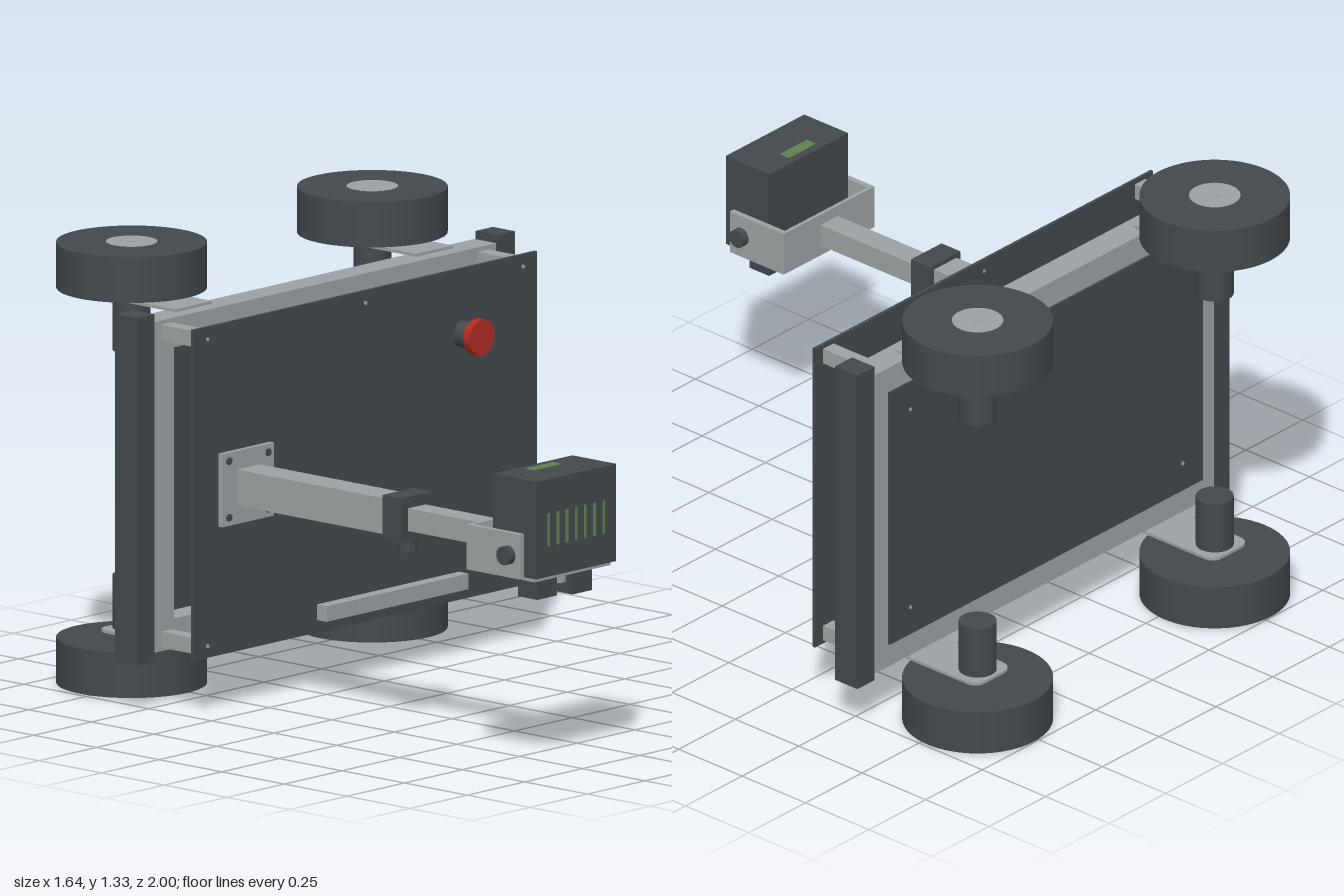
import * as THREE from 'three';

const mat = (color) => new THREE.MeshStandardMaterial({ color });

export function createModel() {
  const root = new THREE.Group();
  const dark = mat(0x42484c), grey = mat(0x9da1a3), green = mat(0x5d8250), red = mat(0xb02a24);

  const add = (name, geo, material, x, y, z, parent = root) => {
    const m = new THREE.Mesh(geo, material);
    m.name = name;
    m.position.set(x, y, z);
    parent.add(m);
    return m;
  };
  // Box given by its limits on each axis
  const box = (name, material, x0, x1, y0, y1, z0, z1, parent) =>
    add(name, new THREE.BoxGeometry(x1 - x0, y1 - y0, z1 - z0), material,
      (x0 + x1) / 2, (y0 + y1) / 2, (z0 + z1) / 2, parent);
  // Cylinder along a chosen axis
  const rod = (name, material, r, len, axis, x, y, z, parent) => {
    const g = new THREE.CylinderGeometry(r, r, len, r > 0.1 ? 64 : 28);
    if (axis === 'x') g.rotateZ(Math.PI / 2);
    if (axis === 'z') g.rotateX(Math.PI / 2);
    return add(name, g, material, x, y, z, parent);
  };
  const group = (name) => {
    const g = new THREE.Group();
    g.name = name;
    root.add(g);
    return g;
  };

  // Wheels with motors and mounting brackets, mirrored about the chassis middle
  const midY = 0.6625;
  for (const sx of [-1, 1]) for (const sy of [-1, 1]) {
    const w = group('wheelUnit'), x = sx * 0.5225, z = -0.778;
    const at = (y) => midY + sy * (y - midY);
    rod('tyre', dark, 0.222, 0.137, 'y', x, at(1.2565), z, w);
    rod('hub', grey, 0.076, 0.136, 'y', x, at(1.2585), z, w);
    rod('axle', grey, 0.013, 0.2, 'y', x, at(1.228), z, w);
    rod('motor', dark, 0.056, 0.165, 'y', x, at(1.0825), z, w);
    // Bracket plate, narrowing to a rounded end round the motor
    const s = new THREE.Shape();
    s.moveTo(-0.08, 0.53);
    s.lineTo(0.08, 0.53);
    s.lineTo(0.08, 0.8);
    s.quadraticCurveTo(0.08, 0.845, 0.04, 0.845);
    s.lineTo(-0.04, 0.845);
    s.quadraticCurveTo(-0.08, 0.845, -0.08, 0.8);
    const g = new THREE.ExtrudeGeometry(s, { depth: 0.009, bevelEnabled: false });
    g.rotateX(-Math.PI / 2);
    add('motorBracket', g, grey, x, at(1.1655) - 0.0045, 0, w);
  }

  // Chassis frame, bumpers and cross rails
  const chassis = group('chassis');
  for (const s of [-1, 1]) {
    const bx = s * 0.7825;
    box('bumper', dark, bx - 0.0375, bx + 0.0375, 0.14, 1.185, -0.57, -0.482, chassis);
    box('sideRail', grey, s * 0.7 - 0.045, s * 0.7 + 0.045, 0.165, 1.16, -0.575, -0.488, chassis);
    const ry = midY + s * 0.4525;
    box('endRail', grey, -0.655, 0.655, ry - 0.045, ry + 0.045, -0.575, -0.488, chassis);
    box('crossRail', grey, s * 0.22 - 0.03, s * 0.22 + 0.03, 0.255, 1.07, -0.56, -0.486, chassis);
    for (const y of [0.2, 1.123])
      box('standoff', grey, s * 0.687 - 0.023, s * 0.687 + 0.023, y - 0.024, y + 0.024, -0.488, -0.334, chassis);
  }
  box('backPlate', dark, -0.69, 0.69, 0.24, 1.08, -0.582, -0.57, chassis);
  box('frontPlate', dark, -0.745, 0.745, 0.165, 1.16, -0.336, -0.326, chassis);
  for (const x of [-0.685, 0, 0.685]) for (const y of [0.2, 1.123])
    rod('plateScrew', grey, 0.006, 0.014, 'z', x, y, -0.33, chassis);
  for (const x of [-0.6, 0.6]) for (const y of [0.33, 0.99])
    rod('backScrew', grey, 0.006, 0.016, 'z', x, y, -0.576, chassis);

  // Electronics between frame and front plate
  const parts = group('electronics');
  box('batteryTray', dark, -0.19, 0.33, 0.49, 0.83, -0.485, -0.42, parts);
  box('battery', green, -0.165, 0.31, 0.5, 0.82, -0.42, -0.36, parts);
  for (const x of [-0.092, 0.232])
    box('batteryStrap', dark, x - 0.017, x + 0.017, 0.492, 0.828, -0.44, -0.355, parts);
  box('controllerBoard', green, 0.385, 0.585, 0.38, 0.545, -0.485, -0.405, parts);
  box('driverBoard', green, 0.405, 0.565, 0.745, 0.86, -0.485, -0.44, parts);
  box('driverBlock', green, 0.385, 0.585, 0.86, 0.92, -0.485, -0.415, parts);
  box('sensorBoard', green, -0.35, -0.2, 0.745, 0.92, -0.485, -0.42, parts);

  // Stop button and light bar on the front plate
  rod('buttonBase', dark, 0.04, 0.06, 'z', 0.422, 0.963, -0.298);
  rod('stopButton', red, 0.054, 0.027, 'z', 0.422, 0.963, -0.26);
  box('lightBar', grey, -0.21, 0.407, 0.203, 0.25, -0.328, -0.287);

  // Telescopic mast
  const mast = group('mast'), mx = -0.525, my = 0.662;
  box('mastFlange', grey, mx - 0.112, mx + 0.112, my - 0.11, my + 0.11, -0.327, -0.31, mast);
  for (const sx of [-1, 1]) for (const sy of [-1, 1])
    rod('flangeBolt', dark, 0.011, 0.008, 'z', mx + sx * 0.085, my + sy * 0.085, -0.309, mast);
  box('outerTube', grey, mx - 0.05, mx + 0.05, my - 0.054, my + 0.054, -0.312, 0.3, mast);
  box('collar', dark, mx - 0.067, mx + 0.067, my - 0.066, my + 0.068, 0.287, 0.362, mast);
  rod('collarKnob', dark, 0.028, 0.04, 'y', mx, 0.577, 0.325, mast);
  box('innerTube', grey, mx - 0.038, mx + 0.038, my - 0.034, my + 0.034, 0.36, 0.752, mast);

  // Tilting head held in a U-shaped yoke
  const head = group('sensorHead');
  box('yokeBack', grey, mx - 0.2, mx + 0.2, 0.595, 0.73, 0.745, 0.757, head);
  for (const s of [-1, 1]) {
    const ax = mx + s * 0.191;
    box('yokeArm', grey, ax - 0.009, ax + 0.009, 0.595, 0.73, 0.745, 0.958, head);
    rod('pivotKnob', dark, 0.028, 0.055, 'x', mx + s * 0.195, 0.663, 0.912, head);
  }
  box('headBox', dark, mx - 0.173, mx + 0.173, 0.597, 0.89, 0.825, 0.998, head);
  for (let i = 0; i < 7; i++) {
    const x = -0.644 + i * 0.0397;
    box('frontSlot', green, x - 0.005, x + 0.005, 0.688, 0.788, 0.99, 0.9995, head);
  }
  box('topSlot', green, mx - 0.06, mx + 0.06, 0.88, 0.8915, 0.85, 0.886, head);
  box('basePlate', grey, mx - 0.165, mx + 0.165, 0.585, 0.598, 0.84, 0.985, head);
  box('leftLens', dark, -0.49, -0.406, 0.512, 0.588, 0.875, 0.952, head);
  box('rightLens', dark, -0.643, -0.557, 0.52, 0.588, 0.875, 0.952, head);
  rod('middleSensor', grey, 0.033, 0.035, 'y', mx, 0.57, 0.913, head);

  return root;
}
